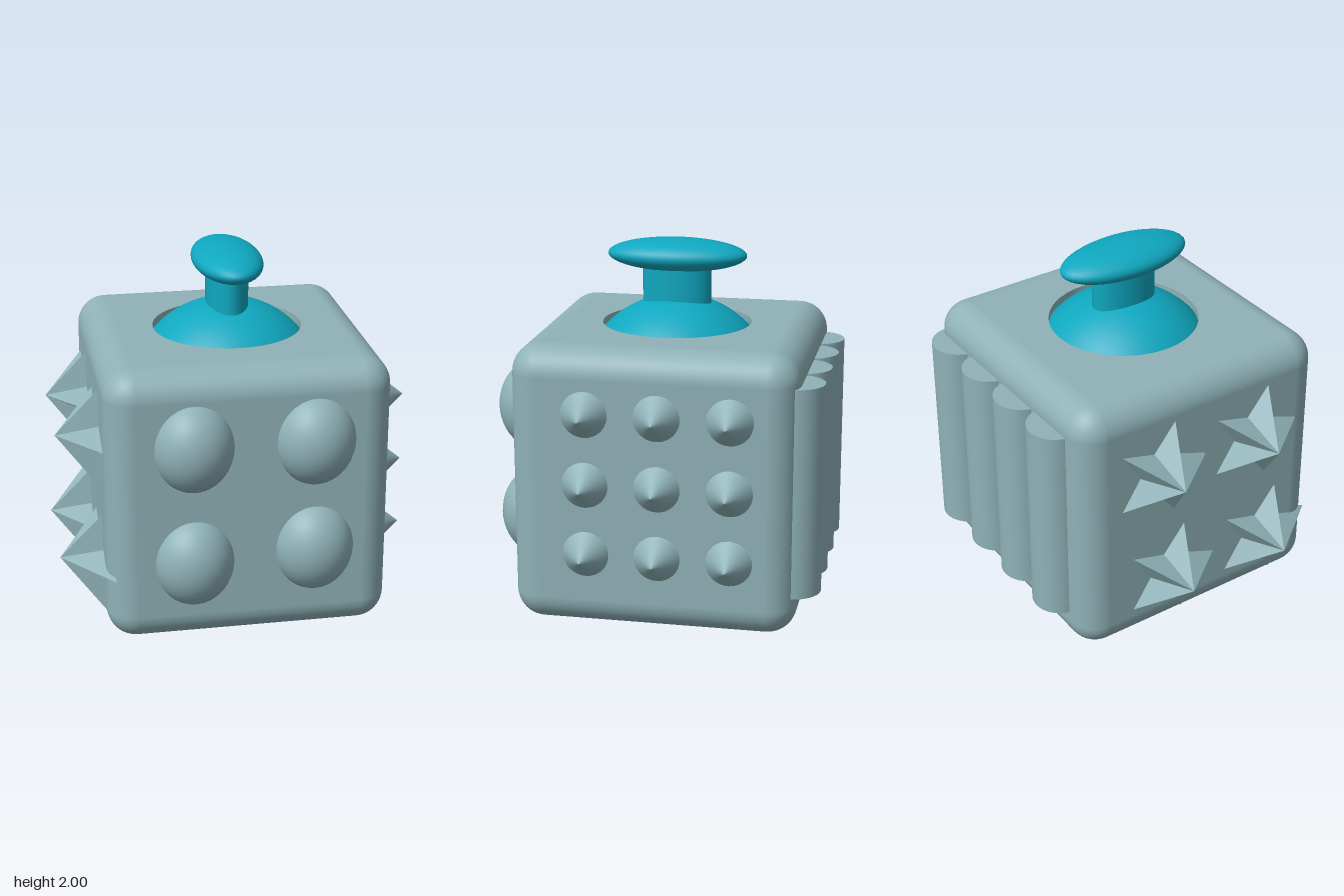
import * as THREE from 'three';
import { RoundedBoxGeometry } from 'three/addons/geometries/RoundedBoxGeometry.js';

const CX = 0.035, CY = 0.77, CZ = -0.02; // cube centre
const SIZE = 1.535, RADIUS = 0.16, WELL = 0.41;

export function createModel() {
  const root = new THREE.Group();
  const shell = new THREE.MeshStandardMaterial({ color: 0x8fb2b7 });
  const shellFlat = new THREE.MeshStandardMaterial({ color: 0x8fb2b7, flatShading: true });
  const shellThin = new THREE.MeshStandardMaterial({ color: 0x8fb2b7, side: THREE.DoubleSide });
  const teal = new THREE.MeshStandardMaterial({ color: 0x0fa8c0 });

  const add = (name, geometry, material, x, y, z, parent = root) => {
    const mesh = new THREE.Mesh(geometry, material);
    mesh.name = name;
    mesh.position.set(x, y, z);
    parent.add(mesh);
    return mesh;
  };
  const group = (name) => {
    const g = new THREE.Group();
    g.name = name;
    root.add(g);
    return g;
  };

  // Rounded cube with its flat top replaced by a panel with a round well
  const cube = group('cubeBody');
  add('cubeShell', openTop(new RoundedBoxGeometry(SIZE, SIZE, SIZE, 6, RADIUS)), shell, CX, CY, CZ, cube);
  const h = SIZE / 2 - RADIUS;
  const panel = new THREE.Shape([[-h, -h], [h, -h], [h, h], [-h, h]].map(([x, y]) => new THREE.Vector2(x, y)));
  panel.holes.push(new THREE.Path().absarc(0, 0, WELL, 0, Math.PI * 2, true));
  add('topPanel', new THREE.ShapeGeometry(panel, 48).rotateX(-Math.PI / 2), shell, CX, CY + SIZE / 2, CZ, cube);
  add('wellWall', new THREE.CylinderGeometry(WELL, WELL, 0.12, 48, 1, true), shellThin,
    CX, CY + SIZE / 2 - 0.06, CZ, cube);

  // Joystick: domed base, oval stem and oval thumb cap
  const stick = group('joystick');
  const domeR = 0.545;
  add('joystickDome', new THREE.SphereGeometry(domeR, 48, 16, 0, Math.PI * 2, 0, Math.asin(WELL / domeR)),
    teal, CX, 1.68 - domeR, CZ, stick);
  add('joystickStem', new THREE.CylinderGeometry(1, 1, 0.3, 40), teal, CX, 1.74, CZ, stick).scale.set(0.115, 1, 0.19);
  add('joystickCap', new THREE.SphereGeometry(1, 40, 24), teal, CX, 1.91, CZ, stick).scale.set(0.19, 0.09, 0.385);

  // Four oval buttons on the front, one pressed slightly higher
  const buttons = group('frontButtons');
  for (const [x, y] of [[-0.27, 1.12], [0.38, 1.12], [-0.27, 0.465], [0.38, 0.505]]) {
    add('ovalButton', new THREE.SphereGeometry(1, 40, 24), shell, x, y, 0.68, buttons).scale.set(0.222, 0.255, 0.22);
  }

  // Three by three cone spikes on the left side
  const cones = group('coneSpikes');
  const coneGeometry = new THREE.ConeGeometry(0.13, 0.16, 32).rotateZ(-Math.PI / 2);
  for (let row = 0; row < 3; row++) {
    for (let col = 0; col < 3; col++) {
      add('coneSpike', coneGeometry, shell, 0.876, 0.425 + row * 0.385, -0.44 + col * 0.385, cones);
    }
  }

  // Four upright rollers sunk into the back
  const rollers = group('backRollers');
  const rollerGeometry = new THREE.CylinderGeometry(0.155, 0.155, 1.145, 40);
  for (let i = 0; i < 4; i++) {
    add('roller', rollerGeometry, shell, -0.415 + i * 0.33, 0.793, -0.75, rollers);
  }

  // Four pointed stars on the right side
  const stars = group('starSpikes');
  const star = starGeometry(0.35, 0.15, 0.27);
  for (const [y, z] of [[1.07, -0.31], [1.07, 0.3], [0.38, -0.24], [0.38, 0.38]]) {
    add('starSpike', star, shellFlat, -0.825, y, z, stars);
  }
  return root;
}

// Drops the flat top triangles of a box
function openTop(box) {
  const g = box.index ? box.toNonIndexed() : box;
  const p = g.attributes.position, n = g.attributes.normal;
  const pos = [], nor = [];
  for (let i = 0; i < p.count; i += 3) {
    if ([0, 1, 2].every((k) => p.getY(i + k) > SIZE / 2 - 1e-5)) continue;
    for (let k = i; k < i + 3; k++) {
      pos.push(p.getX(k), p.getY(k), p.getZ(k));
      nor.push(n.getX(k), n.getY(k), n.getZ(k));
    }
  }
  const out = new THREE.BufferGeometry();
  out.setAttribute('position', new THREE.Float32BufferAttribute(pos, 3));
  out.setAttribute('normal', new THREE.Float32BufferAttribute(nor, 3));
  return out;
}

// Five-pointed pyramid facing -x: a ten-sided cone with every other corner pulled in
function starGeometry(outer, inner, height) {
  const g = new THREE.ConeGeometry(outer, height, 10, 1).toNonIndexed();
  const p = g.attributes.position;
  for (let i = 0; i < p.count; i++) {
    const k = Math.round(Math.atan2(p.getX(i), p.getZ(i)) / (Math.PI / 5));
    if (k % 2 === 0) continue;
    p.setX(i, p.getX(i) * inner / outer);
    p.setZ(i, p.getZ(i) * inner / outer);
  }
  g.rotateZ(Math.PI / 2);
  g.computeVertexNormals();
  return g;
}
